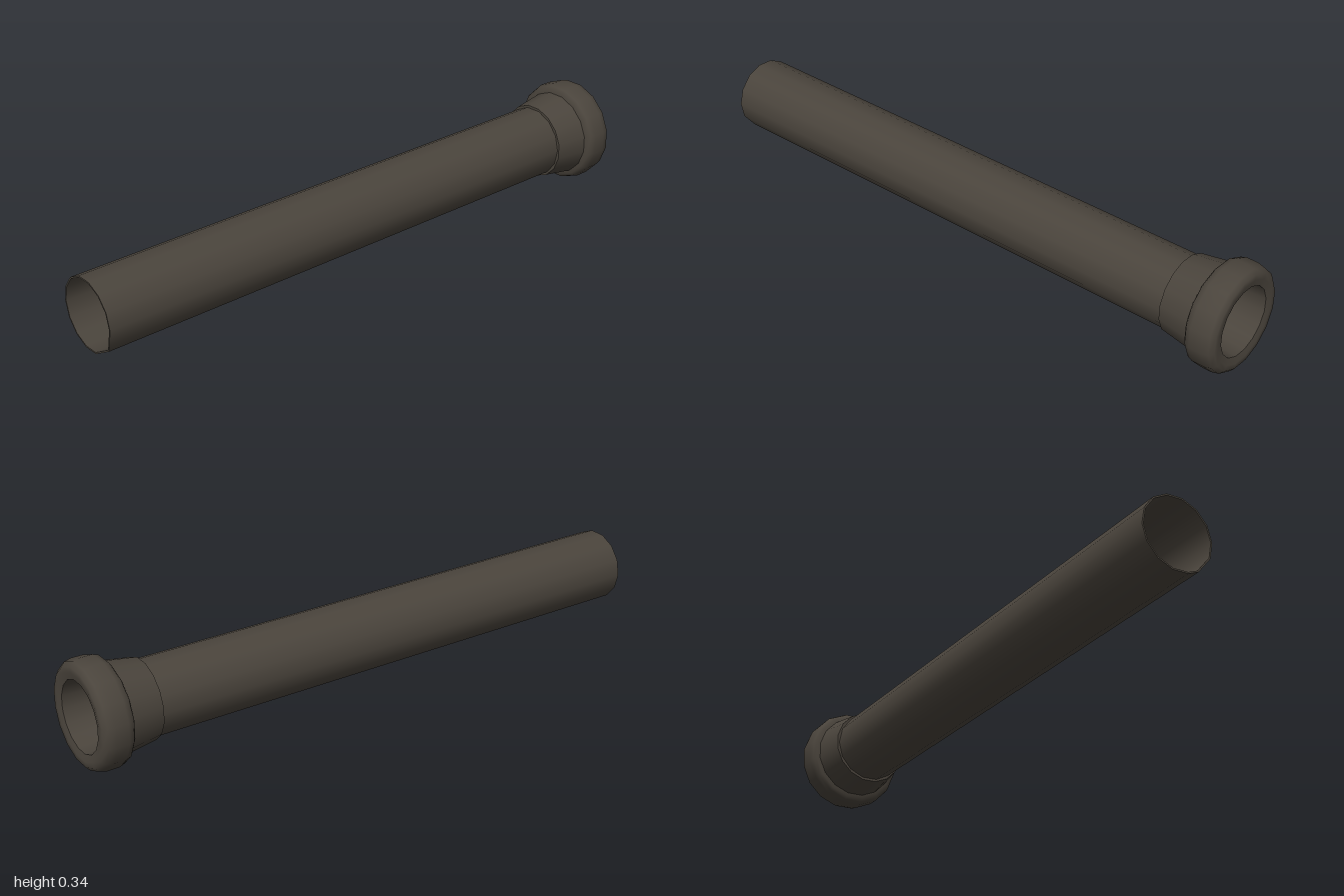
import * as THREE from 'three';

export function createModel() {
  const model = new THREE.Group();
  model.name = 'flaredTube';
  const darkMetal = new THREE.MeshStandardMaterial({ color: 0x4a443c, side: THREE.DoubleSide });
  darkMetal.name = 'darkMetal';

  // Lathe lying along z: profile is [radius, z], startAngle places the first corner
  function turn(name, profile, sides, startAngle) {
    const points = profile.map(([r, z]) => new THREE.Vector2(r, z));
    const geometry = new THREE.LatheGeometry(points, sides, THREE.MathUtils.degToRad(startAngle));
    geometry.rotateX(Math.PI / 2);
    geometry.translate(0, 0.17, 0);
    const mesh = new THREE.Mesh(geometry, darkMetal);
    mesh.name = name;
    model.add(mesh);
    return mesh;
  }

  // Chips the front edge slightly, deepest at the lower left
  function chip(mesh) {
    const pos = mesh.geometry.attributes.position;
    for (let i = 0; i < pos.count; i++) {
      if (pos.getZ(i) < 0.99) continue;
      const angle = Math.atan2(pos.getY(i) - 0.17, pos.getX(i));
      const depth = 0.015 * Math.max(0, 1 - Math.abs(angle + 0.85) / 0.4);
      pos.setZ(i, pos.getZ(i) - depth);
    }
  }

  // Long barrel, its thin lip and its bore
  chip(turn('barrel', [[0.119, -0.85], [0.119, 1]], 14, 169));
  chip(turn('barrelLip', [[0.119, 1], [0.114, 1]], 14, 169));
  chip(turn('barrelBore', [[0.114, 1], [0.108, -0.5], [0, -0.7]], 14, 169));

  // Tapered collar with a small step up from the barrel
  turn('collarStep', [[0.115, -0.79], [0.127, -0.79]].reverse(), 16, 12.5);
  turn('collar', [[0.145, -0.91], [0.142, -0.89], [0.127, -0.79]], 16, 12.5);

  // Rounded end ring
  turn('endRing', [
    [0.113, -0.995], [0.135, -1], [0.152, -1], [0.165, -0.988], [0.1705, -0.965],
    [0.1705, -0.925], [0.165, -0.908], [0.155, -0.9], [0.14, -0.898],
  ], 16, 12.5);

  // Hollow in the end ring
  turn('endRecess', [[0, -0.74], [0.07, -0.76], [0.102, -0.84], [0.113, -0.995]], 16, 12.5);

  return model;
}
